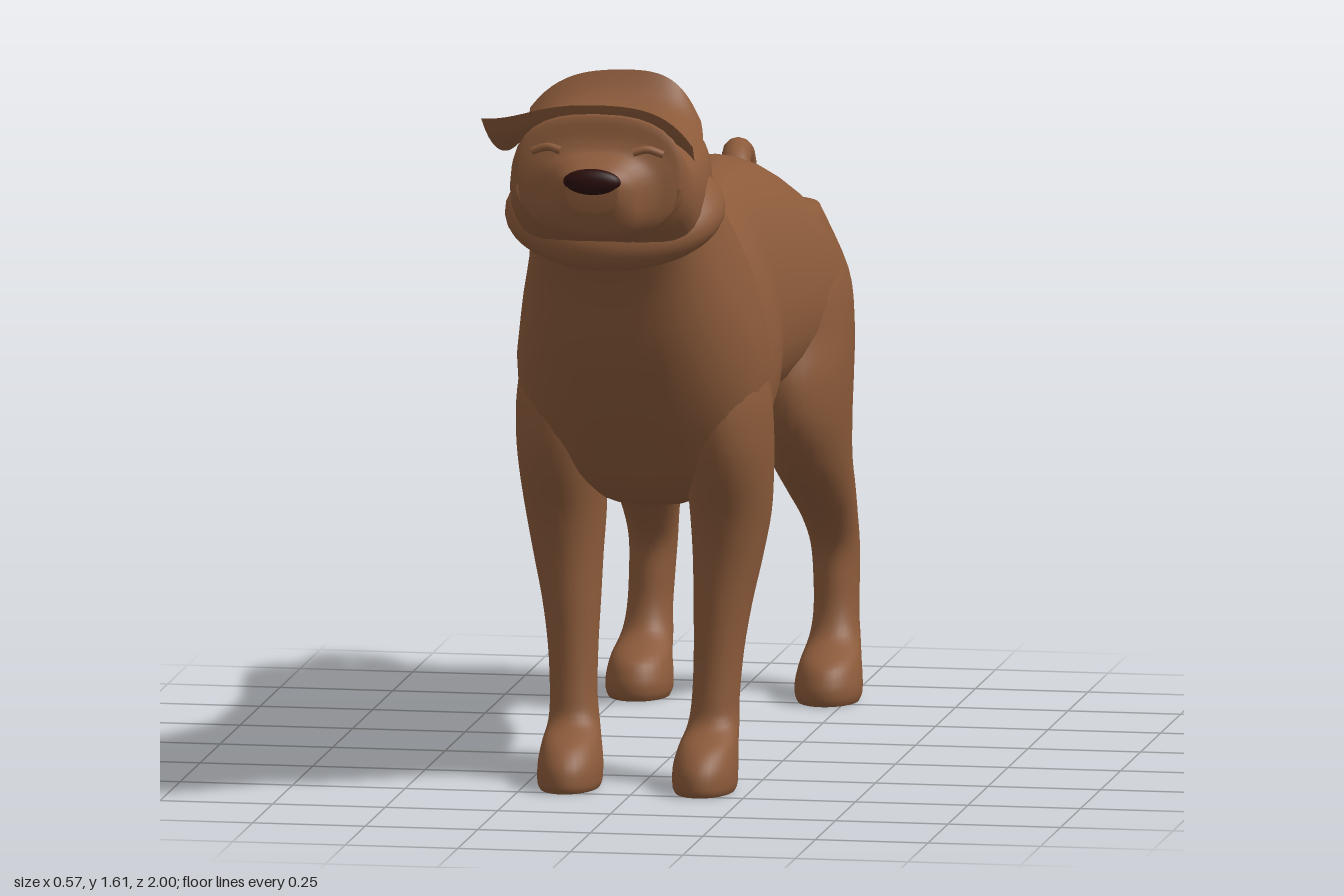
import * as THREE from 'three';

const coat = new THREE.MeshStandardMaterial({ color: 0x8b5a3a });
coat.name = 'brown coat';
coat.side = THREE.DoubleSide;
const dark = new THREE.MeshStandardMaterial({ color: 0x2a0f0c });
dark.name = 'dark nose';

const SIDES = 32;
const softPow = (v, p) => Math.sign(v) * Math.abs(v) ** p;

// Catmull-Rom resampling of rows of section parameters
function refine(rows, steps = 4) {
  const out = [];
  const last = rows.length - 1;
  for (let i = 0; i < last; i++) {
    const [a, b, c, d] = [rows[Math.max(i - 1, 0)], rows[i], rows[i + 1], rows[Math.min(i + 2, last)]];
    for (let s = 0; s < steps; s++) {
      const t = s / steps;
      out.push(b.map((_, k) => b[k] + 0.5 * t * (c[k] - a[k]
        + t * (2 * a[k] - 5 * b[k] + 4 * c[k] - d[k] + t * (3 * (b[k] - c[k]) + d[k] - a[k])))));
    }
  }
  out.push(rows[last]);
  return out;
}

// Closed skin over the sections; pointAt(row, angle) gives the outline
function loft(rows, pointAt) {
  const pos = [], idx = [];
  const rings = refine(rows).map(row =>
    Array.from({ length: SIDES }, (_, j) => pointAt(row, (j / SIDES) * Math.PI * 2)));
  rings.forEach(ring => ring.forEach(p => pos.push(...p)));
  for (let i = 0; i < rings.length - 1; i++) {
    for (let j = 0; j < SIDES; j++) {
      const k = (j + 1) % SIDES;
      const a = i * SIDES + j, b = i * SIDES + k, c = a + SIDES, d = b + SIDES;
      idx.push(a, b, d, a, d, c);
    }
  }
  // end caps
  [0, rings.length - 1].forEach((r, end) => {
    const mid = [0, 1, 2].map(n => rings[r].reduce((s, p) => s + p[n], 0) / SIDES);
    const m = pos.length / 3;
    pos.push(...mid);
    for (let j = 0; j < SIDES; j++) {
      const a = r * SIDES + j, b = r * SIDES + (j + 1) % SIDES;
      idx.push(...(end ? [m, a, b] : [m, b, a]));
    }
  });
  // turn the skin outward if its signed volume is negative
  let volume = 0;
  const v = i => new THREE.Vector3(pos[i * 3], pos[i * 3 + 1], pos[i * 3 + 2]);
  for (let i = 0; i < idx.length; i += 3) volume += v(idx[i]).dot(v(idx[i + 1]).cross(v(idx[i + 2])));
  if (volume < 0) idx.reverse();
  const geo = new THREE.BufferGeometry();
  geo.setAttribute('position', new THREE.Float32BufferAttribute(pos, 3));
  geo.setIndex(idx);
  geo.computeVertexNormals();
  return geo;
}

// Section from a top point, a bottom point and a half width: [topZ, topY, bottomZ, bottomY, w]
const trunkPoint = (skew, power) => ([tz, ty, bz, by, w], a) => {
  const s = softPow(Math.sin(a), power), c = softPow(Math.cos(a), power);
  return [w * c * (1 - skew * s), (ty + by) / 2 + s * (ty - by) / 2, (tz + bz) / 2 + s * (tz - bz) / 2];
};
// Level leg section: [y, x, z, radiusX, radiusZ]
const legPoint = side => ([y, x, z, rx, rz], a) =>
  [side * (x + rx * Math.cos(a)), y, z + rz * Math.sin(a)];

const TORSO = [
  [-0.86, 1.01, -0.87, 0.95, 0.1], [-0.845, 1.045, -0.86, 0.91, 0.18], [-0.82, 1.09, -0.835, 0.87, 0.225],
  [-0.75, 1.165, -0.75, 0.81, 0.255],
  [-0.65, 1.22, -0.62, 0.75, 0.262], [-0.55, 1.25, -0.52, 0.71, 0.238], [-0.4, 1.25, -0.4, 0.7, 0.202],
  [-0.3, 1.24, -0.3, 0.69, 0.195], [-0.15, 1.228, -0.15, 0.65, 0.218], [0, 1.235, 0, 0.62, 0.228],
  [0.12, 1.285, 0.13, 0.605, 0.234], [0.2, 1.31, 0.26, 0.605, 0.262], [0.28, 1.36, 0.4, 0.66, 0.27],
  [0.35, 1.42, 0.5, 0.75, 0.252], [0.42, 1.48, 0.6, 0.86, 0.226], [0.48, 1.53, 0.7, 1.0, 0.2],
  [0.53, 1.52, 0.77, 1.15, 0.185], [0.58, 1.5, 0.82, 1.23, 0.175],
];
const HEAD = [
  [0.48, 1.55, 0.52, 1.32, 0.15], [0.53, 1.52, 0.53, 1.27, 0.185], [0.6, 1.51, 0.6, 1.25, 0.198],
  [0.7, 1.51, 0.7, 1.24, 0.205], [0.8, 1.515, 0.8, 1.25, 0.207], [0.86, 1.53, 0.865, 1.29, 0.203],
  [0.896, 1.58, 0.9, 1.31, 0.188], [0.908, 1.53, 0.91, 1.31, 0.17], [0.92, 1.502, 0.92, 1.31, 0.138],
  [0.94, 1.49, 0.94, 1.312, 0.108], [0.965, 1.475, 0.96, 1.33, 0.088], [0.988, 1.46, 0.982, 1.38, 0.055],
];
const FRONT_LEG = [
  [1.12, 0.14, 0.35, 0.07, 0.09], [0.97, 0.16, 0.335, 0.1, 0.14], [0.87, 0.175, 0.325, 0.104, 0.162],
  [0.78, 0.182, 0.315, 0.101, 0.165], [0.7, 0.185, 0.297, 0.095, 0.155],
  [0.6, 0.183, 0.272, 0.088, 0.13], [0.5, 0.177, 0.275, 0.076, 0.1], [0.4, 0.168, 0.287, 0.064, 0.08],
  [0.3, 0.162, 0.302, 0.055, 0.064], [0.2, 0.158, 0.318, 0.052, 0.056], [0.14, 0.155, 0.33, 0.056, 0.062],
  [0.1, 0.152, 0.375, 0.064, 0.1], [0.06, 0.15, 0.402, 0.07, 0.114], [0.02, 0.15, 0.41, 0.07, 0.115],
  [0.003, 0.15, 0.41, 0.064, 0.108],
];
const HIND_LEG = [
  [1.12, 0.13, -0.67, 0.08, 0.12], [0.97, 0.153, -0.685, 0.117, 0.193], [0.85, 0.162, -0.68, 0.122, 0.207],
  [0.75, 0.17, -0.665, 0.114, 0.216], [0.65, 0.178, -0.677, 0.1, 0.205], [0.55, 0.185, -0.73, 0.085, 0.165],
  [0.47, 0.192, -0.81, 0.072, 0.13], [0.4, 0.198, -0.88, 0.06, 0.095], [0.33, 0.202, -0.925, 0.053, 0.075],
  [0.25, 0.205, -0.925, 0.05, 0.068], [0.18, 0.207, -0.91, 0.05, 0.062], [0.13, 0.208, -0.885, 0.056, 0.07],
  [0.09, 0.21, -0.825, 0.066, 0.1], [0.05, 0.21, -0.8, 0.073, 0.102], [0.02, 0.21, -0.795, 0.073, 0.1],
  [0.003, 0.21, -0.795, 0.066, 0.093],
];

function tube(points, radius, segments = 32) {
  const curve = new THREE.CatmullRomCurve3(points.map(p => new THREE.Vector3(...p)));
  return new THREE.TubeGeometry(curve, segments, radius, 12);
}

// Ear flap folded over the skull, with curled rear and front rims and one raised front tip
function earFlap() {
  const geo = new THREE.PlaneGeometry(2, 1, 28, 28);
  const p = geo.attributes.position;
  for (let i = 0; i < p.count; i++) {
    const u = p.getX(i), v = 0.5 - p.getY(i);
    const tip = Math.max(0, -u) ** 6 * v ** 5;
    const x = u * (u > 0 ? 0.145 + 0.065 * Math.sqrt(v) : 0.225) - 0.035 * tip;
    const rear = 0.088 * Math.exp(-v * 10) * (1 - 0.35 * u * u);
    const front = 0.078 * Math.exp((v - 1) * 12) * (1 - 0.35 * u * u);
    const y = 1.522 - 0.06 * u ** 4 + rear + front + 0.05 * tip;
    p.setXYZ(i, x, y, 0.485 + 0.415 * v);
  }
  geo.computeVertexNormals();
  return geo;
}

export function createModel() {
  const model = new THREE.Group();
  model.name = 'dog';
  const add = (name, geo, mat = coat, parent = model) => {
    const mesh = new THREE.Mesh(geo, mat);
    mesh.name = name;
    parent.add(mesh);
    return mesh;
  };

  add('torso', loft(TORSO, trunkPoint(0.18, 0.92)));

  // legs, mirrored left and right
  for (const [label, side] of [['left', 1], ['right', -1]]) {
    add(label + 'FrontLeg', loft(FRONT_LEG, legPoint(side)));
    add(label + 'HindLeg', loft(HIND_LEG, legPoint(side)));
  }

  // curled tail with a rounded end
  add('tail', tube([[0, 1.0, -0.83], [0, 1.06, -0.885], [0, 1.13, -0.902], [0, 1.185, -0.885],
    [0, 1.205, -0.84], [0.005, 1.185, -0.79], [0.01, 1.15, -0.772], [0.012, 1.12, -0.785]], 0.033, 40));
  add('tailTip', new THREE.SphereGeometry(0.033, 16, 12)).position.set(0.012, 1.12, -0.785);

  // head, neck ruff and face
  const head = new THREE.Group();
  head.name = 'head';
  model.add(head);
  add('skull', loft(HEAD, trunkPoint(0, 0.78)), coat, head);
  const ruff = add('neckRuff', new THREE.SphereGeometry(1, 40, 24), coat, head);
  ruff.scale.set(0.243, 0.1, 0.195);
  ruff.position.set(0, 1.335, 0.69);
  ruff.rotation.x = 0.42;
  add('earFlap', earFlap(), coat, head);

  const lip = [];
  for (let i = 0; i <= 16; i++) {
    const a = Math.PI * (1 + i / 16);
    lip.push([0.18 * Math.cos(a), 1.42 + 0.1 * Math.sin(a), 0.895]);
  }
  add('lipFold', tube(lip, 0.012, 48), coat, head);
  for (const [label, s] of [['left', 1], ['right', -1]]) {
    add(label + 'Eyelid', tube([[s * 0.08, 1.5, 0.917], [s * 0.11, 1.507, 0.911], [s * 0.145, 1.496, 0.905]],
      0.009, 12), coat, head);
  }
  const nose = add('nose', new THREE.SphereGeometry(1, 24, 16), dark, head);
  nose.scale.set(0.064, 0.029, 0.022);
  nose.position.set(0, 1.443, 0.978);
  return model;
}
